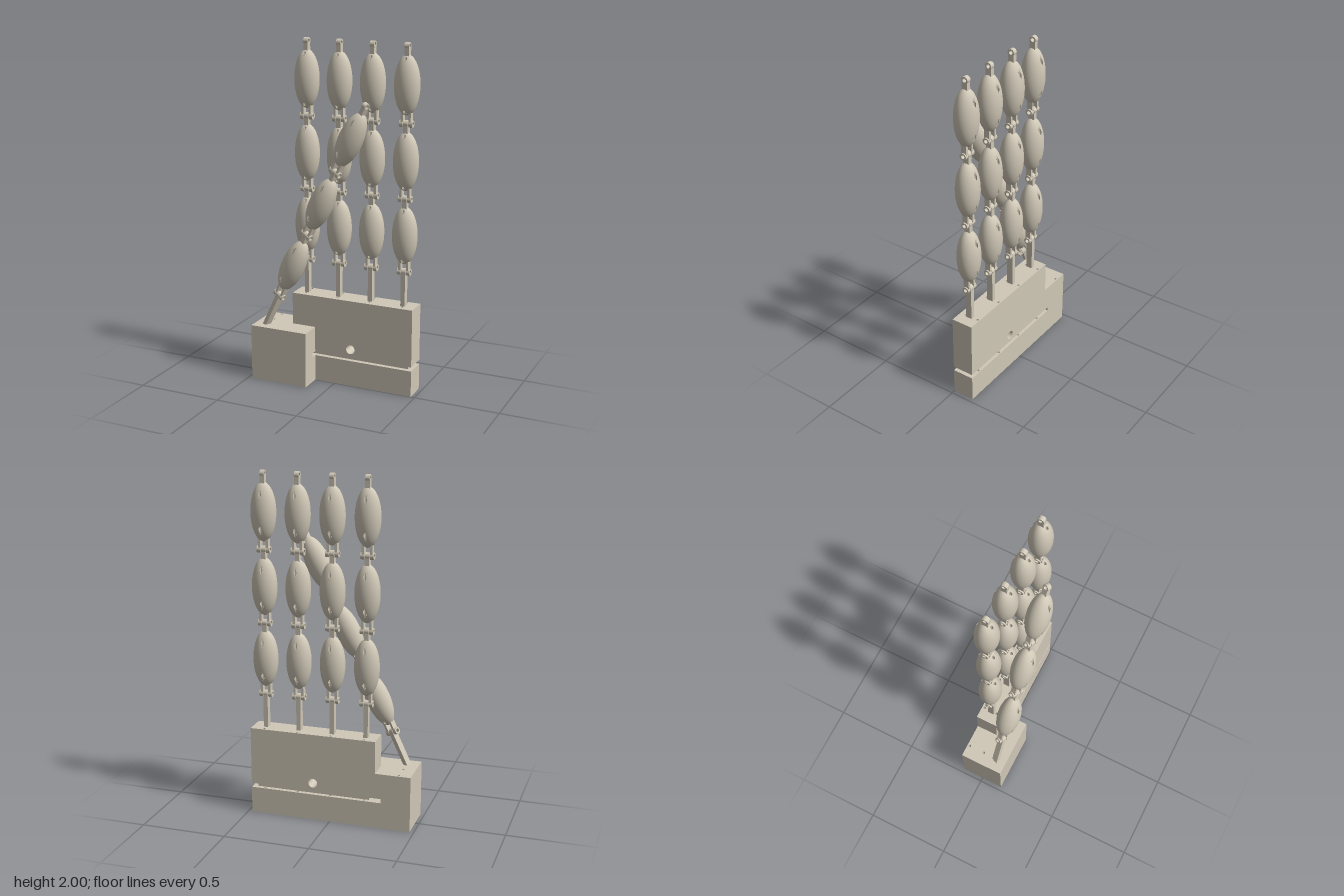
import * as THREE from 'three';

const bone = new THREE.MeshStandardMaterial({ color: 0xd0c8b7, side: THREE.DoubleSide });
bone.name = 'bone';

const JOINT = 0.21;                       // link centre to hinge
const RX = 0.0725, RY = 0.165, RZ = 0.065; // ellipsoid radii
const CORDS = [-0.05, 0.03];              // z offsets of the cord tunnels
const CORD_R = 0.0075;

function add(parent, name, geometry) {
  const mesh = new THREE.Mesh(geometry, bone);
  mesh.name = name;
  parent.add(mesh);
  return mesh;
}

function circleHole(x, y, r, n = 16) {
  const hole = new THREE.Path();
  for (let i = 0; i < n; i++) {
    const a = -i / n * Math.PI * 2;
    const px = x + r * Math.cos(a), py = y + r * Math.sin(a);
    if (i === 0) hole.moveTo(px, py); else hole.lineTo(px, py);
  }
  hole.closePath();
  return hole;
}

// Horizontal layer: outline in x,z between heights y0 and y1, with vertical holes
function layer(parent, name, outline, y0, y1, holes = []) {
  const shape = new THREE.Shape(outline.map(([x, z]) => new THREE.Vector2(x, z)));
  for (const [x, z] of holes) shape.holes.push(circleHole(x, z, 0.008));
  const g = new THREE.ExtrudeGeometry(shape, { depth: y1 - y0, bevelEnabled: false });
  g.rotateX(Math.PI / 2).translate(0, y1, 0);
  return add(parent, name, g);
}

const rect = (x0, x1, z0, z1) => [[x0, z0], [x1, z0], [x1, z1], [x0, z1]];

// Flat bar with a round, drilled eye at height yEye, spanning x0..x1
function eyeBar(yStart, yEye, x0, x1, half = 0.017, r = 0.02) {
  const a = Math.acos(half / r);
  const s = new THREE.Shape();
  s.moveTo(-half, yStart);
  s.lineTo(half, yStart);
  s.absarc(0, yEye, r, -a, Math.PI + a, false);
  s.closePath();
  s.holes.push(circleHole(0, yEye, 0.011));
  const g = new THREE.ExtrudeGeometry(s, { depth: x1 - x0, bevelEnabled: false, curveSegments: 20 });
  return g.rotateY(Math.PI / 2).translate(x0, 0, 0);
}

function boss(x0, x1) {
  const s = new THREE.Shape();
  s.absarc(0, -JOINT, 0.02, 0, Math.PI * 2, false);
  s.holes.push(circleHole(0, -JOINT, 0.011));
  const g = new THREE.ExtrudeGeometry(s, { depth: x1 - x0, bevelEnabled: false, curveSegments: 20 });
  return g.rotateY(Math.PI / 2).translate(x0, 0, 0);
}

const surfaceY = (x, z) => RY * Math.sqrt(Math.max(0, 1 - (x / RX) ** 2 - (z / RZ) ** 2));

// Ellipsoid whose surface is opened up around the two cord tunnels
function ellipsoid() {
  const g = new THREE.SphereGeometry(1, 56, 40).scale(RX, RY, RZ);
  const p = g.attributes.position, n = g.attributes.normal, R = 0.0145;
  const v = new THREE.Vector3();
  for (let i = 0; i < p.count; i++) {
    v.fromBufferAttribute(p, i);
    for (const hz of CORDS) {
      const d = Math.hypot(v.x, v.z - hz);
      if (d < R && d > 1e-6) {
        const k = (CORD_R + d * (1 - CORD_R / R)) / d;
        v.x *= k;
        v.z = hz + (v.z - hz) * k;
        v.y = Math.sign(v.y) * surfaceY(v.x, v.z);
      }
    }
    p.setXYZ(i, v.x, v.y, v.z);
    v.set(v.x / RX ** 2, v.y / RY ** 2, v.z / RZ ** 2).normalize();
    n.setXYZ(i, v.x, v.y, v.z);
  }
  const index = g.index.array, kept = [];
  for (let i = 0; i < index.length; i += 3) {
    const t = [index[i], index[i + 1], index[i + 2]];
    const cx = t.reduce((s, j) => s + p.getX(j), 0) / 3;
    const cz = t.reduce((s, j) => s + p.getZ(j), 0) / 3;
    if (CORDS.every(hz => Math.hypot(cx, cz - hz) > CORD_R * 0.9)) kept.push(...t);
  }
  g.setIndex(kept);
  return g;
}

// Tunnel wall trimmed to the ellipsoid surface
function tunnel(hz) {
  const g = new THREE.CylinderGeometry(CORD_R + 0.0005, CORD_R + 0.0005, 1, 16, 1, true).translate(0, 0, hz);
  const p = g.attributes.position;
  for (let i = 0; i < p.count; i++) p.setY(i, Math.sign(p.getY(i)) * surfaceY(p.getX(i), p.getZ(i)));
  return g;
}

const bodyGeo = ellipsoid();
const tunnelGeos = CORDS.map(tunnel);
const tabGeo = eyeBar(0.1, JOINT, -0.013, 0.013);
const stemGeo = eyeBar(-0.23, 0, -0.013, 0.013, 0.019);
const prongGeos = [[-0.03, -0.016], [0.016, 0.03]].map(([a, b]) => eyeBar(0.11, JOINT, a, b).rotateZ(Math.PI));
const bossGeos = [[-0.038, -0.029], [0.029, 0.038]].map(([a, b]) => boss(a, b));

function link() {
  const g = new THREE.Group();
  g.name = 'fingerLink';
  add(g, 'linkBody', bodyGeo);
  tunnelGeos.forEach(t => add(g, 'cordTunnel', t));
  add(g, 'hingeTab', tabGeo);
  prongGeos.forEach(t => add(g, 'hingeProng', t));
  bossGeos.forEach(t => add(g, 'hingeBoss', t));
  return g;
}

// Stem and three hinged links, origin at the lowest hinge
function digit(name) {
  const g = new THREE.Group();
  g.name = name;
  add(g, 'stem', stemGeo);
  for (let i = 0; i < 3; i++) {
    const l = link();
    l.position.y = JOINT * (2 * i + 1);
    g.add(l);
  }
  return g;
}

export function createModel() {
  const model = new THREE.Group();
  model.name = 'jointedHand';
  const fingersX = [-0.2, 0, 0.2, 0.4];
  const E = 0.477, B = -0.13, F = 0.13;

  // Palm, in layers around the side slot
  const palm = new THREE.Group();
  palm.name = 'palm';
  model.add(palm);
  const thumbHoles = [[-0.405, -0.115], [-0.405, -0.02]];
  const fingerHoles = xs => xs.flatMap(x => [[x, -0.115], [x, -0.035]]);
  layer(palm, 'palmBottom', [[-E, B], [E, B], [E, 0], [-0.125, 0], [-0.125, F], [-E, F]], 0, 0.155,
    [...thumbHoles, ...fingerHoles(fingersX)]);
  layer(palm, 'slotWall', [[-E, B], [-0.305, B], [-0.305, 0.038], [-0.125, 0.038], [-0.125, F], [-E, F]],
    0.155, 0.18, thumbHoles);
  layer(palm, 'slotStrip', rect(-0.23, 0.447, -0.105, -0.027), 0.155, 0.18);
  layer(palm, 'thumbBlock', [[-E, B], [-0.27, B], [-0.27, 0], [-0.125, 0], [-0.125, F], [-E, F]],
    0.18, 0.33, thumbHoles);
  layer(palm, 'palmRight', rect(-0.27, 0.05, B, 0), 0.18, 0.52, fingerHoles([-0.2, 0]));
  layer(palm, 'palmLeft', rect(0.15, E, B, 0), 0.18, 0.52, fingerHoles([0.2, 0.4]));

  // Middle of the palm, with the cross hole
  const middle = new THREE.Shape(rect(0.05, 0.15, 0.18, 0.52).map(([x, y]) => new THREE.Vector2(x, y)));
  middle.holes.push(circleHole(0.1, 0.225, 0.027, 32));
  add(palm, 'palmMiddle', new THREE.ExtrudeGeometry(middle, { depth: -B, bevelEnabled: false }).translate(0, 0, B));

  // Four upright fingers
  for (const x of fingersX) {
    const f = digit('finger');
    f.position.set(x, 0.72, -0.065);
    model.add(f);
  }

  // Leaning thumb, turned to face the fingers
  const thumb = digit('thumb');
  thumb.position.set(-0.319, 0.52, 0.066);
  thumb.rotation.set(0, Math.PI - 0.38, -0.437, 'ZYX');
  model.add(thumb);

  return model;
}
